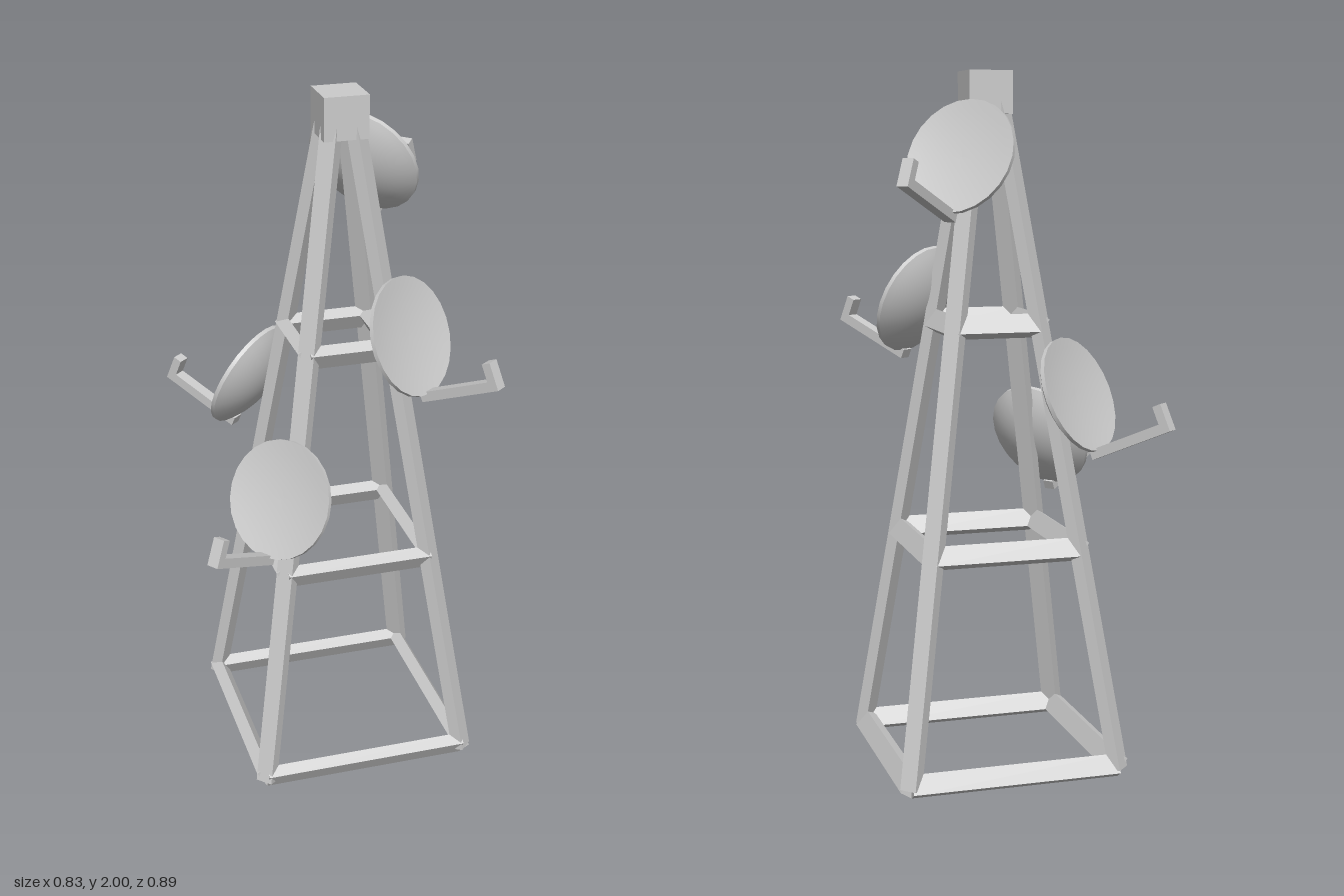
import * as THREE from 'three';

const material = new THREE.MeshStandardMaterial({ color: 0xcccccc });
const CENTRE_X = 0.068, CENTRE_Z = 0.015;
const rad = THREE.MathUtils.degToRad;

// distance of the tapering frame's corners from its axis, at height y
const spread = (y) => 0.303 - 0.144 * (y - 0.04);

function addMesh(parent, name, geometry, x = 0, y = 0, z = 0) {
  const mesh = new THREE.Mesh(geometry, material);
  mesh.name = name;
  mesh.position.set(x, y, z);
  parent.add(mesh);
  return mesh;
}

// Square tower: four leaning legs, three rings of tilted bars, a cap block
function createTower() {
  const tower = new THREE.Group();
  tower.name = 'tower';
  tower.position.set(CENTRE_X, 0, CENTRE_Z);

  const low = 0.025, high = 1.91;
  for (let i = 0; i < 4; i++) {
    const corner = new THREE.Group();
    corner.name = 'leg';
    corner.rotation.y = Math.PI / 4 + i * Math.PI / 2;
    const run = (spread(low) - spread(high)) * Math.SQRT2;
    const leg = addMesh(corner, 'legBeam',
      new THREE.BoxGeometry(0.05, Math.hypot(run, high - low), 0.035),
      0, (low + high) / 2, spread((low + high) / 2) * Math.SQRT2);
    leg.rotation.x = -Math.atan2(run, high - low);
    tower.add(corner);
  }

  // bars in order: front, left, back, right
  const tilts = [31, -31, -31, 31];
  for (const y of [0.036, 0.657, 1.29]) {
    tilts.forEach((tilt, i) => {
      const side = new THREE.Group();
      side.name = 'crossbar';
      side.rotation.y = i * Math.PI / 2;
      const bar = addMesh(side, 'crossbarBeam',
        new THREE.BoxGeometry(2 * spread(y), 0.058, 0.036), 0, y, spread(y));
      bar.rotation.x = rad(tilt);
      tower.add(side);
    });
  }

  addMesh(tower, 'capBlock', new THREE.BoxGeometry(0.126, 0.12, 0.126), 0, 1.94, 0);
  return tower;
}

const DISH_RADIUS = 0.168, DISH_DEPTH = 0.07, LIP = 0.012;

// Lathe of [radius, height] points, turned so its axis runs along +z
function latheZ(points) {
  return new THREE.LatheGeometry(points.map((p) => new THREE.Vector2(...p)), 24)
    .rotateX(Math.PI / 2);
}

// Dish: round back, lip, shallow face and a bent feed arm; it faces local +z
function createDish([x, y, z], [dx, dz]) {
  const dish = new THREE.Group();
  dish.name = 'dish';

  const capDepth = DISH_DEPTH - LIP;
  const sphere = (DISH_RADIUS ** 2 + capDepth ** 2) / (2 * capDepth);
  const sweep = Math.asin(DISH_RADIUS / sphere);
  const back = [], face = [];
  for (let i = 0; i <= 10; i++) {
    const a = sweep * i / 10;
    back.push([sphere * Math.sin(a), sphere * (1 - Math.cos(a)) - DISH_DEPTH]);
  }
  for (let i = 6; i >= 0; i--) {
    const t = i / 6;
    face.push([DISH_RADIUS * t, -0.015 * (1 - t * t)]);
  }
  addMesh(dish, 'dishBack', latheZ(back));
  addMesh(dish, 'dishLip', latheZ([[DISH_RADIUS, -LIP], [DISH_RADIUS, 0]]));
  addMesh(dish, 'dishFace', latheZ(face));

  const armY = -DISH_RADIUS - 0.004;
  addMesh(dish, 'feedArm', new THREE.BoxGeometry(0.035, 0.028, 0.26), 0, armY, 0.105);
  addMesh(dish, 'feedTip', new THREE.BoxGeometry(0.035, 0.06, 0.026), 0, armY + 0.035, 0.222);

  dish.position.set(x, y, z);
  dish.lookAt(x + dx, y + Math.hypot(dx, dz) * Math.tan(rad(23)), z + dz);
  return dish;
}

export function createModel() {
  const model = new THREE.Group();
  model.name = 'dishTower';
  model.add(createTower());

  // centre of each dish and the ground direction it faces
  const dishes = [
    [[0.178, 1.765, -0.108], [0.72, -0.69]],
    [[0.225, 1.35, 0.2], [0.6, 0.8]],
    [[-0.142, 1.105, -0.215], [-0.66, -0.75]],
    [[-0.172, 0.92, 0.242], [-0.8, 0.6]],
  ];
  for (const [centre, facing] of dishes) model.add(createDish(centre, facing));
  return model;
}
